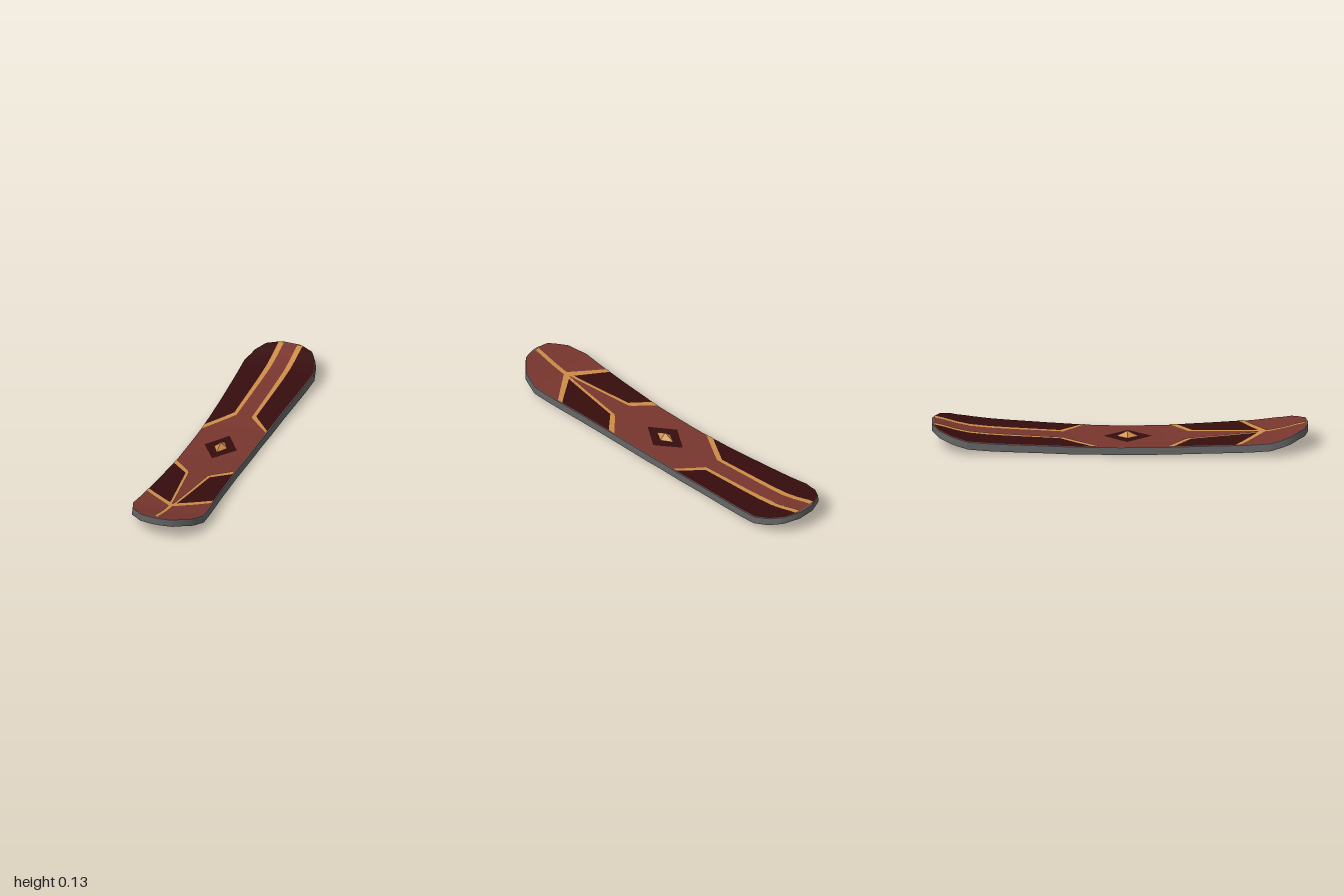
import * as THREE from 'three';
import { toCreasedNormals } from 'three/addons/utils/BufferGeometryUtils.js';

const mat = (name, color, side = THREE.FrontSide) => {
  const m = new THREE.MeshStandardMaterial({ color, side });
  m.name = name;
  return m;
};

// Piecewise linear lookup in a list of [key, value]
function lookup(table, t) {
  for (let i = 1; i < table.length; i++) {
    const [a, va] = table[i - 1], [b, vb] = table[i];
    if (t <= b) return va + (vb - va) * Math.max(0, (t - a) / (b - a));
  }
  return table[table.length - 1][1];
}

// Half width along the length, and height of the underside
const WIDTH = [[-1, 0.05], [-0.96, 0.137], [-0.9, 0.178], [-0.81, 0.203], [-0.4, 0.183], [-0.1, 0.174],
  [0.25, 0.174], [0.5, 0.184], [0.81, 0.203], [0.91, 0.168], [0.985, 0.09], [1, 0.02]];
const RISE = [[0, 0], [0.25, 0.004], [0.6, 0.021], [0.7, 0.027], [0.8, 0.037], [0.87, 0.052], [0.95, 0.075], [1, 0.086]];
const THICK = 0.04, RIM = 0.007;
const half = z => lookup(WIDTH, z);
const under = z => lookup(RISE, Math.abs(z));

const sortedUnique = list => [...new Set(list.map(v => +v.toFixed(4)))].sort((a, b) => a - b);
const STATIONS = sortedUnique([...WIDTH.map(w => w[0]), ...RISE.flatMap(r => [r[0], -r[0]])]);

function makeGeometry(pos, idx) {
  const g = new THREE.BufferGeometry();
  g.setAttribute('position', new THREE.Float32BufferAttribute(pos, 3));
  g.setIndex(idx);
  g.computeVertexNormals();
  return g;
}

// Sheet that follows the board: an [x, z] outline sliced across its length
function sheet(points, offset, inset = RIM, down = false) {
  const zMin = Math.min(...points.map(p => p[1])), zMax = Math.max(...points.map(p => p[1]));
  const zs = sortedUnique([...points.map(p => p[1]), ...STATIONS.filter(z => z > zMin && z < zMax)]);
  const pos = [], idx = [];
  zs.forEach((z, row) => {
    const xs = [];
    points.forEach(([x0, z0], i) => {
      const [x1, z1] = points[(i + 1) % points.length];
      if (Math.abs(z0 - z) < 1e-4) xs.push(x0);
      else if ((z0 - z) * (z1 - z) < 0) xs.push(x0 + (x1 - x0) * (z - z0) / (z1 - z0));
    });
    const limit = half(z) - inset, y = under(z) + offset;
    for (const x of [Math.min(...xs), Math.max(...xs)]) {
      pos.push(THREE.MathUtils.clamp(x, -limit, limit), y, z);
    }
    if (row) {
      const a = 2 * row - 2;
      idx.push(...(down ? [a, a + 1, a + 2, a + 1, a + 3, a + 2] : [a, a + 2, a + 1, a + 1, a + 2, a + 3]));
    }
  });
  return makeGeometry(pos, idx);
}

// Edge band running round the whole outline
function wall() {
  const loop = [...STATIONS.map(z => [1, z]), ...[...STATIONS].reverse().map(z => [-1, z])];
  const pos = [], idx = [], n = loop.length;
  loop.forEach(([s, z], i) => {
    const y = under(z), w = half(z), a = 2 * i, b = 2 * ((i + 1) % n);
    pos.push(s * w, y, z, s * (w - 0.004), y + THICK, z);
    idx.push(a, a + 1, b, a + 1, b + 1, b);
  });
  return toCreasedNormals(makeGeometry(pos, idx), 0.7);
}

export function createModel() {
  const board = new THREE.Group();
  board.name = 'snowboard';
  const red = mat('brick red', 0x78362e);
  const dark = mat('dark maroon', 0x360c0d);
  const tan = mat('golden tan', 0xcc8c48);
  const grey = mat('edge grey', 0x636363);

  const add = (name, geometry, material) => {
    const m = new THREE.Mesh(geometry, material);
    m.name = name;
    board.add(m);
    return m;
  };
  const box = z => [[-0.3, -z], [0.3, -z], [0.3, z], [-0.3, z]];

  // Board body
  add('edgeWall', wall(), grey);
  add('topRim', sheet(box(1), THICK, 0.004), grey);
  add('base', sheet(box(1), 0, 0, true), red);
  add('deck', sheet(box(0.992), THICK + 0.002), red);

  // Painted layers on the deck
  const DARK = THICK + 0.004, TAN = THICK + 0.006;
  for (const s of [1, -1]) {
    const side = s > 0 ? 'left' : 'right';
    const paint = (name, pts, layer, material) =>
      add(side + name, sheet(pts.map(([x, z]) => [x * s, z]), layer), material);
    const end = s > 0 ? -0.2 : -0.12; // the back flashes end at different points

    paint('BackPanel', [[0.05, -0.99], [0.25, -0.99], [0.25, -0.81], [0.19, -0.4], [0.17, end], [0.055, -0.31]], DARK, dark);
    paint('BackStripe', [[0.038, -0.988], [0.068, -0.988], [0.062, -0.31], [0.043, -0.3]], TAN, tan);
    paint('BackFlash', s > 0
      ? [[0.045, -0.315], [0.062, -0.32], [0.168, -0.205], [0.168, -0.185], [0.045, -0.3]]
      : [[0.043, -0.3], [0.062, -0.32], [0.168, -0.15], [0.168, -0.1]], TAN, tan);

    paint('FrontPanel', [[0.168, 0.29], [0.065, 0.38], [0.008, 0.75], [0.185, 0.635]], DARK, dark);
    paint('FrontFlash', [[0.168, 0.255], [0.168, 0.295], [0.058, 0.388], [0.062, 0.35]], TAN, tan);
    paint('FrontStripe', [[0.054, 0.355], [0.07, 0.365], [0.015, 0.76], [0, 0.76]], TAN, tan);
    paint('NoseFlash', [[0.188, 0.622], [0.188, 0.652], [0, 0.785], [0, 0.745]], TAN, tan);
  }
  add('noseStripe', sheet([[-0.012, 0.75], [0.012, 0.75], [0.012, 0.985], [-0.012, 0.985]], TAN), tan);

  // Centre diamond with a raised stud
  const cz = 0.04;
  add('centreDiamond', sheet([[0, cz - 0.13], [0.092, cz], [0, cz + 0.13], [-0.092, cz]], DARK), dark);
  const studGeometry = new THREE.ConeGeometry(1, 0.03, 4).scale(0.036, 1, 0.06).toNonIndexed();
  studGeometry.computeVertexNormals();
  add('centreStud', studGeometry, tan).position.set(0, 0.06, cz);

  return board;
}
